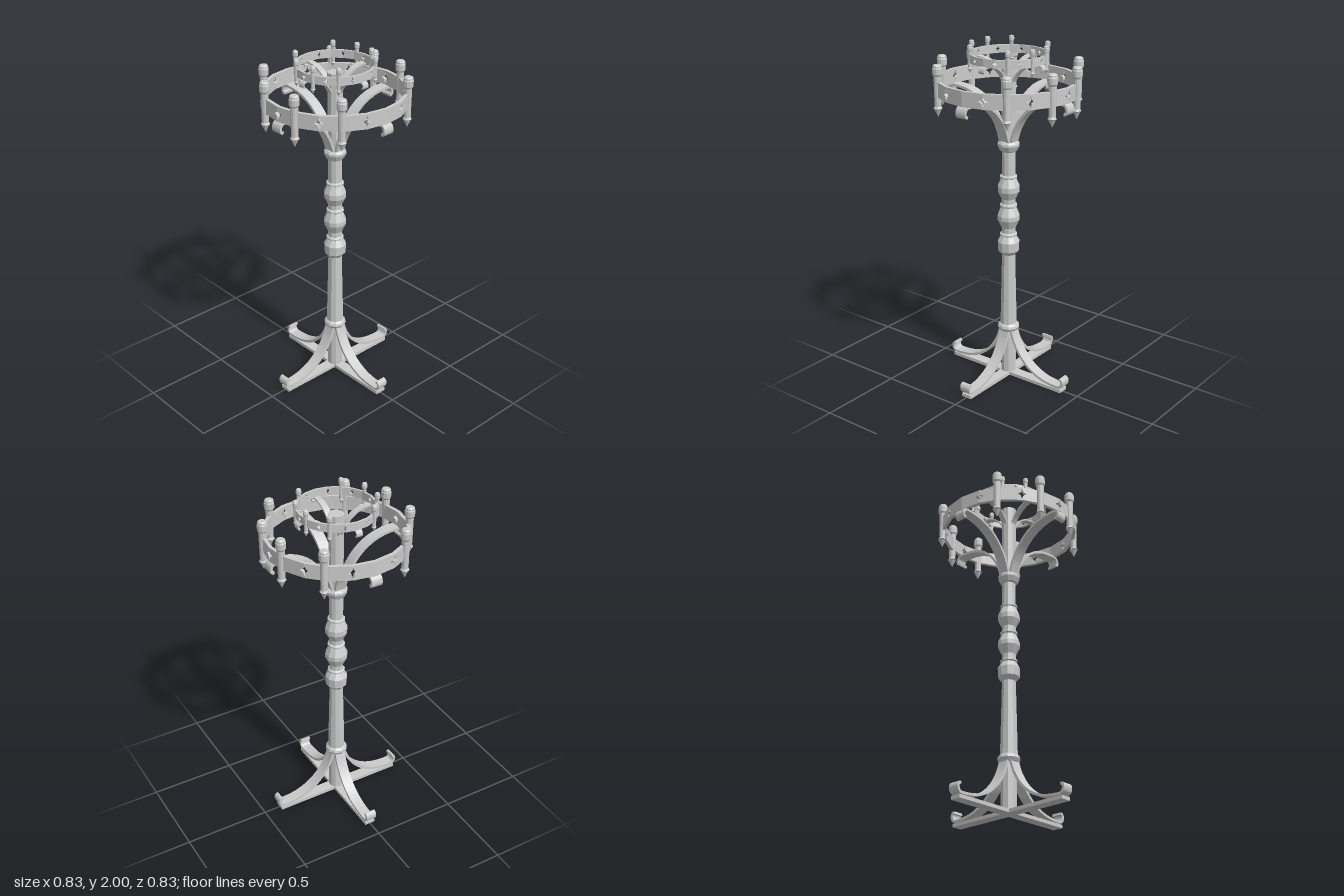
import * as THREE from 'three';

const material = new THREE.MeshStandardMaterial({ color: 0xcccccc, flatShading: true });
const v2 = (list) => list.map(([x, y]) => new THREE.Vector2(x, y));

function add(parent, geometry, name) {
  const mesh = new THREE.Mesh(geometry, material);
  mesh.name = name;
  parent.add(mesh);
  return mesh;
}

// Curved iron strap with a curled end, starting at the pole (y = 0) and rising outward
function strapGeometry(width, thickness) {
  const curve = new THREE.SplineCurve(v2([
    [0.035, 0], [0.062, 0.08], [0.11, 0.158], [0.18, 0.222], [0.27, 0.262], [0.37, 0.274],
    [0.4, 0.266], [0.409, 0.242], [0.403, 0.225], [0.39, 0.222],
  ]));
  const outer = [], inner = [], n = 36;
  for (let i = 0; i <= n; i++) {
    const p = curve.getPoint(i / n), t = curve.getTangent(i / n);
    const normal = new THREE.Vector2(-t.y, t.x).multiplyScalar(thickness / 2);
    outer.push(p.clone().add(normal));
    inner.unshift(p.clone().sub(normal));
  }
  const geometry = new THREE.ExtrudeGeometry(new THREE.Shape([...outer, ...inner]),
    { depth: width, bevelEnabled: false });
  return geometry.translate(0, 0, -width / 2);
}

// Four straps around the pole
function strapSet(name, y, scale, flip, width, thickness) {
  const group = new THREE.Group();
  group.name = name;
  const geometry = strapGeometry(width / scale, thickness / scale);
  for (let i = 0; i < 4; i++) {
    add(group, geometry, name + 'Strap').rotation.y = i * Math.PI / 2;
  }
  group.scale.setScalar(scale);
  group.position.y = y;
  if (flip) group.rotation.x = Math.PI;
  return group;
}

// Twenty-sided band; every second corner is pierced by a four-pointed star
function bandRing(name, radius, y, height, thickness, holeW, holeH) {
  const group = new THREE.Group();
  group.name = name;
  const step = Math.PI / 10;
  const half = radius * Math.sin(step / 2), apothem = radius * Math.cos(step / 2), h = height / 2;
  for (let i = 0; i < 20; i++) {
    const s = i % 2 ? -1 : 1; // side of the panel carrying the half star
    const outline = v2([
      [-s * half, -h], [s * half, -h], [s * half, -holeH], [s * (half - holeW * 0.3), -holeH * 0.3],
      [s * (half - holeW), 0], [s * (half - holeW * 0.3), holeH * 0.3], [s * half, holeH],
      [s * half, h], [-s * half, h],
    ]);
    const geometry = new THREE.ExtrudeGeometry(new THREE.Shape(outline),
      { depth: thickness, bevelEnabled: false }).translate(0, 0, -thickness);
    // mitre the panel ends
    const pos = geometry.attributes.position;
    for (let k = 0; k < pos.count; k++) pos.setX(k, pos.getX(k) * (1 + pos.getZ(k) / apothem));
    geometry.translate(0, 0, apothem).rotateY((i + 0.5) * step);
    geometry.computeVertexNormals();
    add(group, geometry, name + 'Panel');
  }
  group.position.y = y;
  return group;
}

// Candle in a pointed holder, its tip at y = 0
const candleGeometry = new THREE.LatheGeometry(v2([
  [0, 0], [0.02, 0.042], [0.025, 0.048], [0.019, 0.06], [0.022, 0.225], [0.028, 0.235],
  [0.029, 0.268], [0.026, 0.274], [0.026, 0.282], [0.02, 0.289], [0, 0.289],
]), 12);

function candles(name, spots, y, scale) {
  const group = new THREE.Group();
  group.name = name;
  for (const [x, z] of spots) {
    const candle = add(group, candleGeometry, 'candle');
    candle.position.set(x, y, z);
    candle.scale.setScalar(scale);
  }
  return group;
}

export function createModel() {
  const model = new THREE.Group();
  model.name = 'candelabrum';

  // Turned pole with collars and three bulges
  add(model, new THREE.LatheGeometry(v2([
    [0, 0.01], [0.045, 0.01], [0.045, 0.285], [0.055, 0.29], [0.066, 0.308], [0.062, 0.322], [0.05, 0.333],
    [0.04, 0.77], [0.062, 0.795], [0.065, 0.85], [0.044, 0.885], [0.051, 0.89], [0.051, 0.898],
    [0.041, 0.905], [0.041, 0.935], [0.065, 0.985], [0.065, 1.01], [0.044, 1.06], [0.051, 1.065],
    [0.051, 1.075], [0.041, 1.082], [0.041, 1.11], [0.064, 1.155], [0.064, 1.185], [0.044, 1.232],
    [0.051, 1.236], [0.051, 1.246], [0.04, 1.252], [0.04, 1.39], [0.05, 1.397], [0.064, 1.425],
    [0.064, 1.438], [0.055, 1.45], [0.04, 1.455], [0.044, 1.9], [0, 1.9],
  ]), 10), 'pole');

  // Crossed floor bars and curled feet
  add(model, new THREE.BoxGeometry(0.8, 0.02, 0.064), 'floorBar').position.y = 0.01;
  add(model, new THREE.BoxGeometry(0.064, 0.02, 0.8), 'floorBar').position.y = 0.01;
  model.add(strapSet('foot', 0.305, 1, true, 0.064, 0.015));

  // Lower tier
  model.add(strapSet('lowerArm', 1.447, 1, false, 0.064, 0.015));
  model.add(bandRing('lowerRing', 0.402, 1.768, 0.084, 0.02, 0.028, 0.033));
  model.add(candles('lowerCandles', [
    [0.252, -0.31], [0.385, -0.1], [0.378, 0.118], [0.233, 0.32],
    [-0.24, 0.316], [-0.383, 0.112], [-0.375, -0.137], [-0.221, -0.334],
  ], 1.615, 1));

  // Upper tier
  model.add(strapSet('upperArm', 1.745, 0.575, false, 0.036, 0.009));
  model.add(bandRing('upperRing', 0.221, 1.927, 0.046, 0.012, 0.015, 0.018));
  model.add(candles('upperCandles', [
    [0.139, -0.17], [0.212, -0.055], [0.208, 0.064], [0.128, 0.175],
    [-0.131, 0.172], [-0.21, 0.06], [-0.206, -0.076], [-0.12, -0.184],
  ], 1.847, 0.53));

  return model;
}
